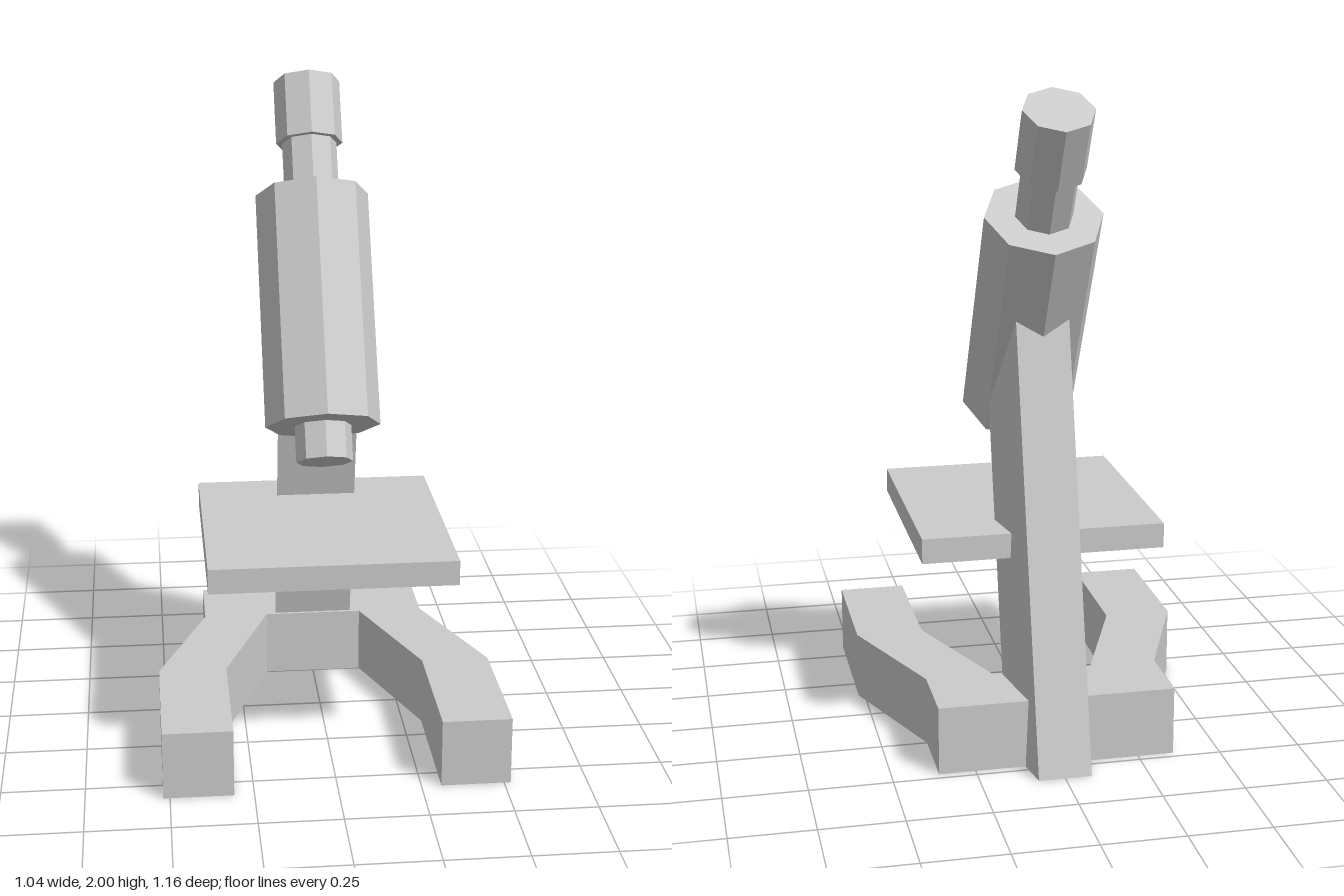
import * as THREE from 'three';
import { ConvexGeometry } from 'three/addons/geometries/ConvexGeometry.js';

const material = new THREE.MeshStandardMaterial({ color: 0xcccccc, flatShading: true });

function addPart(parent, name, geometry) {
  const mesh = new THREE.Mesh(geometry, material);
  mesh.name = name;
  parent.add(mesh);
  return mesh;
}

export function createModel() {
  const model = new THREE.Group();
  model.name = 'microscope';

  // Forked base: half outline as (x, z), mirrored and extruded upward
  const half = [[0.36, -0.475], [0.36, -0.25], [0.52, 0.155], [0.52, 0.58],
    [0.31, 0.58], [0.31, 0.155], [0.155, -0.25]];
  const outline = [...half, ...half.map(([x, z]) => [-x, z]).reverse()];
  const shape = new THREE.Shape(outline.map(([x, z]) => new THREE.Vector2(x, -z)));
  const base = new THREE.ExtrudeGeometry(shape, { depth: 0.21, bevelEnabled: false });
  base.rotateX(-Math.PI / 2);
  addPart(model, 'base', base);

  // Leaning arm, narrower at the back, running up into the tube
  const armProfile = [[0.08, 0, -0.58], [0.125, 0, -0.312], [0.125, 1.1, -0.04], [0.08, 1.35, -0.246]];
  const armPoints = armProfile.flatMap(([x, y, z]) =>
    [new THREE.Vector3(x, y, z), new THREE.Vector3(-x, y, z)]);
  addPart(model, 'arm', new ConvexGeometry(armPoints));

  // Flat specimen stage
  const stage = addPart(model, 'stage', new THREE.BoxGeometry(0.745, 0.077, 0.745));
  stage.position.set(0, 0.633, 0.085);

  // Tilted optics: octagonal sections along one axis, from the tube's lower end
  const optics = new THREE.Group();
  optics.name = 'optics';
  optics.position.set(0, 0.985, 0.1);
  optics.rotation.x = -Math.PI / 6;
  const sections = [
    ['objective', 0.087, -0.112, 0],
    ['bodyTube', 0.177, 0, 0.74],
    ['drawTube', 0.086, 0.74, 0.91],
    ['eyepiece', 0.105, 0.91, 1.115],
  ];
  for (const [name, radius, from, to] of sections) {
    const part = addPart(optics, name, new THREE.CylinderGeometry(radius, radius, to - from, 8));
    part.position.y = (from + to) / 2;
  }
  model.add(optics);

  return model;
}
